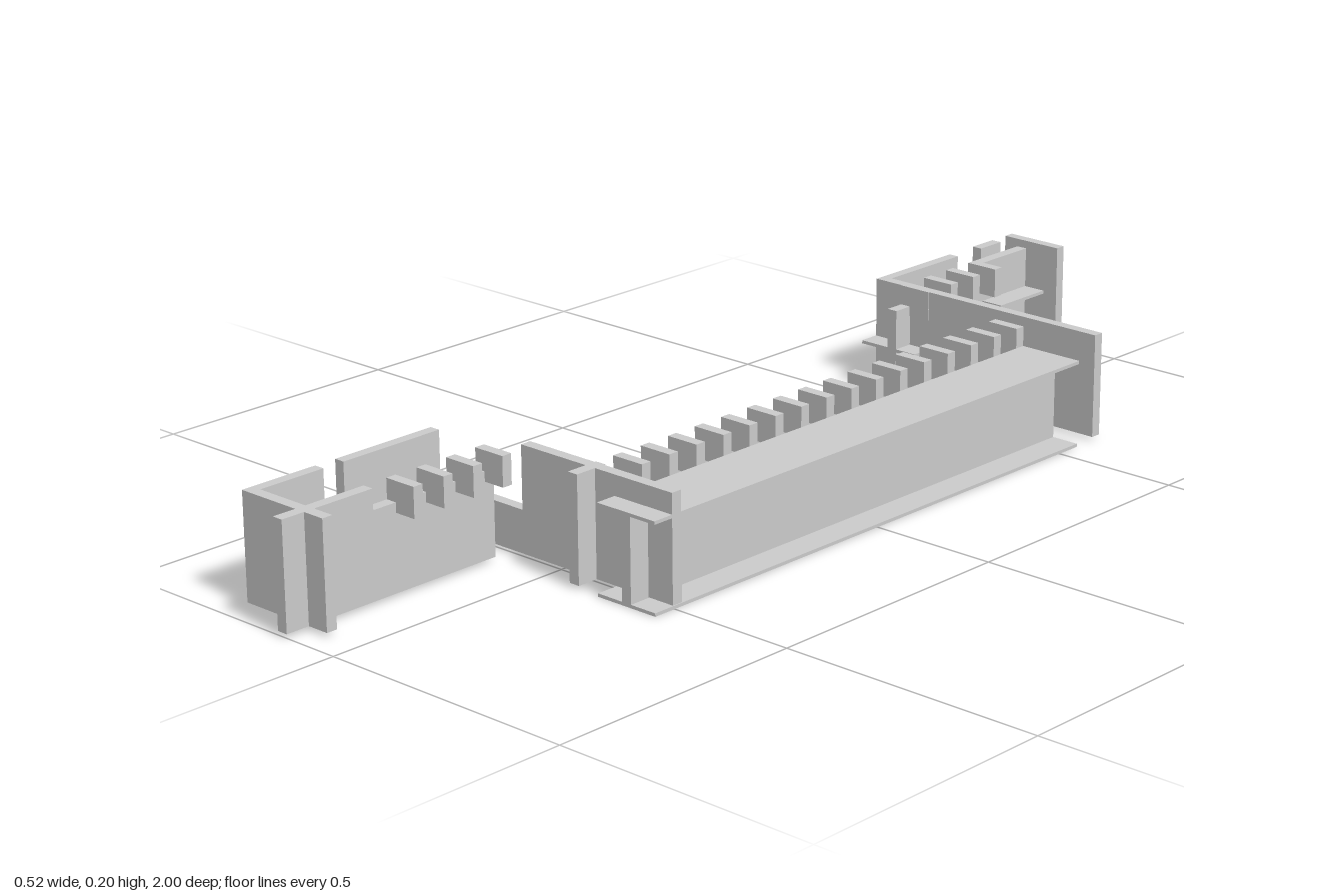
import * as THREE from 'three';

const material = new THREE.MeshStandardMaterial({ color: 0xcccccc, flatShading: true });
const BASE = 0.007, TOP = 0.2, LEDGE = 0.163;

export function createModel() {
  const model = new THREE.Group();

  // Box from its limits along each axis
  function box(name, [x0, x1], [y0, y1], [z0, z1]) {
    const mesh = new THREE.Mesh(new THREE.BoxGeometry(x1 - x0, y1 - y0, z1 - z0), material);
    mesh.position.set((x0 + x1) / 2, (y0 + y1) / 2, (z0 + z1) / 2);
    mesh.name = name;
    model.add(mesh);
  }

  // Sheet along z, cut from an outline of [z, y] points, with rectangular slots
  function sheet(name, x0, x1, points, slots = []) {
    const shape = new THREE.Shape(points.map(([z, y]) => new THREE.Vector2(-z, y)));
    for (const [z0, z1, y0, y1] of slots) {
      shape.holes.push(new THREE.Path(
        [[z0, y0], [z0, y1], [z1, y1], [z1, y0]].map(([z, y]) => new THREE.Vector2(-z, y))));
    }
    const geometry = new THREE.ExtrudeGeometry(shape, { depth: x1 - x0, bevelEnabled: false });
    geometry.rotateY(Math.PI / 2);
    geometry.translate(x0, 0, 0);
    const mesh = new THREE.Mesh(geometry, material);
    mesh.name = name;
    model.add(mesh);
  }

  // Row of evenly spaced crosswise teeth
  function teeth(name, xs, first, step, count) {
    for (let i = 0; i < count; i++) {
      const z = first + i * step;
      box(name, xs, [0.145, TOP], [z - 0.01, z + 0.01]);
    }
  }

  // Main section: slotted toothed wall beside a long I-beam
  sheet('mainWall', 0.065, 0.086,
    [[-0.55, BASE], [0.545, BASE], [0.545, TOP], [0.48, TOP], [0.48, LEDGE], [-0.55, LEDGE]],
    [[-0.245, -0.215, 0.07, 0.13], [0.275, 0.305, 0.07, 0.13]]);
  teeth('mainTooth', [0.065, 0.13], -0.54, 0.0647, 16);
  box('beamWeb', [0.184, 0.204], [0.005, 0.158], [-0.55, 0.545]);
  for (const y of [0, 0.157]) box('beamFlange', [0.13, 0.258], [y, y + 0.006], [-0.55, 0.545]);

  // Cross walls at both ends of the main section
  box('frontCrossWall', [-0.085, 0.258], [BASE, TOP], [0.483, 0.504]);
  box('frontCrossWallLow', [-0.258, -0.085], [BASE, 0.085], [0.483, 0.504]);
  box('backCrossWall', [-0.258, 0.258], [BASE, TOP], [-0.615, -0.595]);

  // Front section
  sheet('frontToothedWall', -0.13, -0.109,
    [[0.545, BASE], [1, BASE], [1, TOP], [0.81, TOP], [0.81, LEDGE], [0.545, LEDGE]]);
  teeth('frontTooth', [-0.13, -0.066], 0.555, 0.0655, 4);
  box('frontEndWall', [-0.258, -0.066], [BASE, TOP], [0.933, 0.954]);
  box('frontSidePanel', [-0.258, -0.238], [BASE, TOP], [0.545, 0.757]);
  box('frontSidePanel', [-0.258, -0.238], [BASE, TOP], [0.8, 0.954]);
  box('frontPartition', [-0.258, -0.109], [BASE, 0.092], [0.737, 0.757]);
  box('frontLowerShelf', [-0.258, -0.13], [0.082, 0.088], [0.545, 0.8]);
  box('frontUpperShelf', [-0.258, -0.13], [0.118, 0.124], [0.8, 0.954]);

  // Back section
  sheet('backToothedWall', -0.196, -0.175,
    [[-0.94, BASE], [-0.555, BASE], [-0.555, LEDGE], [-0.81, LEDGE], [-0.81, TOP], [-0.94, TOP]]);
  teeth('backTooth', [-0.196, -0.13], -0.8, 0.0655, 4);
  box('backSidePanel', [-0.258, -0.238], [BASE, TOP], [-0.94, -0.88]);
  box('backSidePanel', [-0.258, -0.238], [BASE, TOP], [-0.81, -0.6]);
  box('backLowerShelf', [-0.258, -0.13], [0.082, 0.088], [-0.81, -0.555]);
  box('backUpperShelf', [-0.258, -0.13], [0.118, 0.124], [-0.94, -0.81]);
  box('backEndPlate', [-0.258, -0.13], [BASE, TOP], [-1, -0.98]);

  return model;
}
